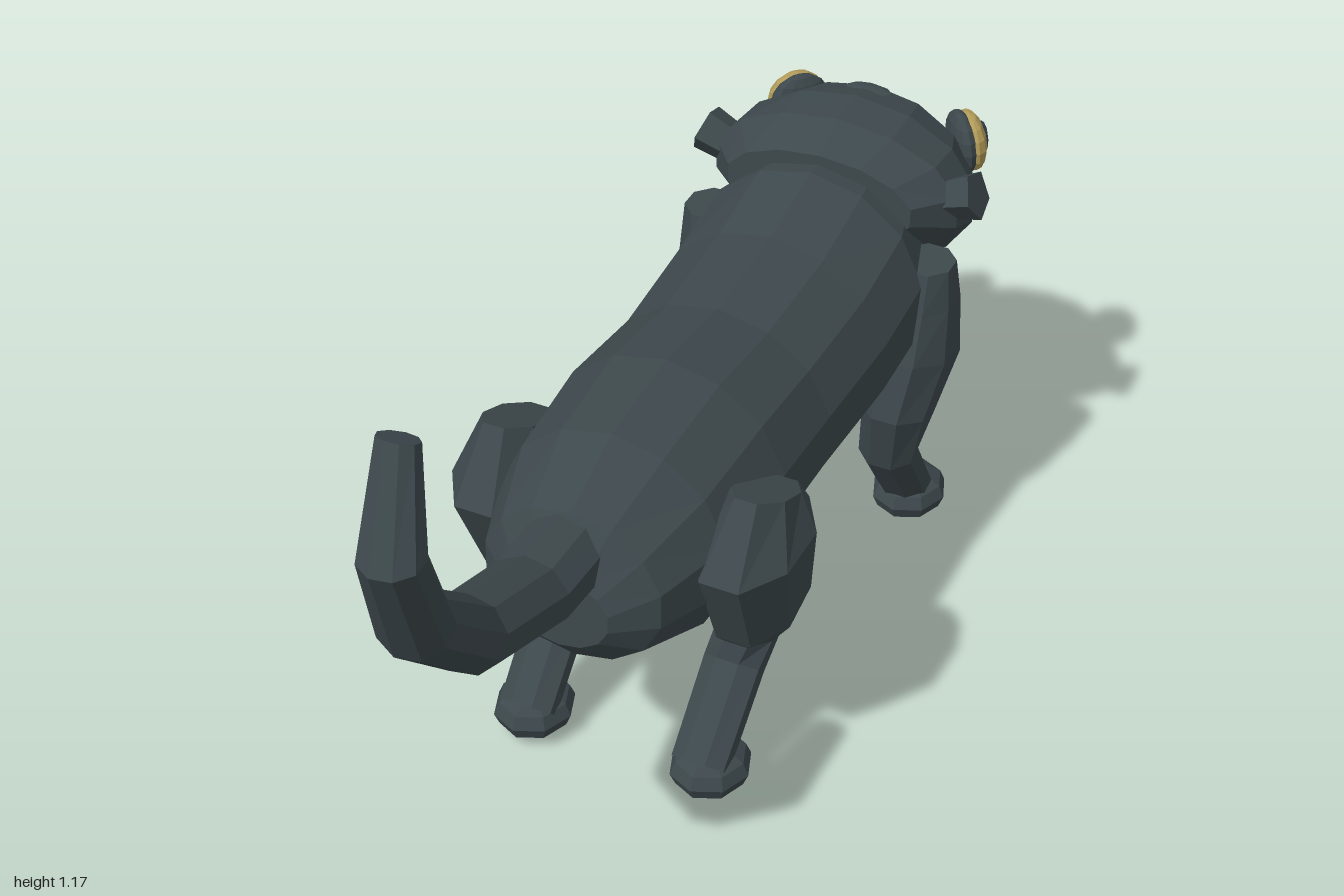
import * as THREE from 'three';

const fur = new THREE.MeshStandardMaterial({ color: 0x3d484c });
fur.name = 'charcoalFur';
const amber = new THREE.MeshStandardMaterial({ color: 0xb09a58 });
amber.name = 'amberEye';
const slate = new THREE.MeshStandardMaterial({ color: 0x36404a });
slate.name = 'slatePupil';

// Faceted look: every face gets its own normals
function faceted(geometry) {
  const g = geometry.index ? geometry.toNonIndexed() : geometry;
  g.computeVertexNormals();
  return g;
}

// Closed tube through elliptical rings [x, y, z, half width, half depth]
function loft(rings, sides, axis) {
  const centres = rings.map(r => new THREE.Vector3(r[0], r[1], r[2]));
  const u = new THREE.Vector3(1, 0, 0);
  const loops = rings.map((r, k) => {
    const t = axis || centres[Math.min(k + 1, rings.length - 1)].clone()
      .sub(centres[Math.max(k - 1, 0)]).normalize();
    const v = t.clone().cross(u).normalize();
    return Array.from({ length: sides }, (_, i) => {
      const a = (i + 0.5) / sides * Math.PI * 2;
      return centres[k].clone().addScaledVector(u, Math.cos(a) * r[3])
        .addScaledVector(v, Math.sin(a) * r[4]);
    });
  });
  const points = [];
  const last = rings.length - 1;
  for (let i = 0; i < sides; i++) {
    const j = (i + 1) % sides;
    for (let k = 0; k < last; k++) {
      const a = loops[k][i], b = loops[k][j], c = loops[k + 1][j], d = loops[k + 1][i];
      points.push(a, b, c, a, c, d);
    }
    points.push(centres[0], loops[0][j], loops[0][i]);
    points.push(centres[last], loops[last][i], loops[last][j]);
  }
  return faceted(new THREE.BufferGeometry().setFromPoints(points));
}

function add(parent, name, geometry, material = fur) {
  const mesh = new THREE.Mesh(geometry, material);
  mesh.name = name;
  parent.add(mesh);
  return mesh;
}

// Low-poly ellipsoid
function blob(parent, name, pos, size, material = fur, sides = 8, rows = 6) {
  const g = new THREE.SphereGeometry(1, sides, rows).scale(...size);
  const mesh = add(parent, name, faceted(g), material);
  mesh.position.set(...pos);
  return mesh;
}

export function createModel() {
  const model = new THREE.Group();
  model.name = 'cat';
  const alongZ = new THREE.Vector3(0, 0, 1);

  // Torso, from neck to rump
  add(model, 'body', loft([
    [0, 0.585, -0.80, 0.11, 0.115],
    [0, 0.57, -0.68, 0.18, 0.185],
    [0, 0.545, -0.56, 0.225, 0.22],
    [0, 0.52, -0.40, 0.225, 0.204],
    [0, 0.505, -0.19, 0.215, 0.196],
    [0, 0.51, 0, 0.22, 0.206],
    [0, 0.492, 0.19, 0.208, 0.2],
    [0, 0.49, 0.33, 0.16, 0.142],
    [0, 0.475, 0.38, 0.09, 0.07],
  ], 14, alongZ));

  // Head, from snout to nape
  add(model, 'head', loft([
    [0, 0.545, -0.985, 0.04, 0.025],
    [0, 0.558, -0.96, 0.09, 0.045],
    [0, 0.62, -0.90, 0.155, 0.125],
    [0, 0.638, -0.83, 0.205, 0.165],
    [0, 0.66, -0.75, 0.24, 0.163],
    [0, 0.685, -0.67, 0.24, 0.13],
    [0, 0.70, -0.595, 0.18, 0.08],
  ], 14, alongZ));
  blob(model, 'foreheadTuft', [0, 0.797, -0.81], [0.05, 0.016, 0.025]);
  blob(model, 'nose', [0, 0.582, -0.978], [0.028, 0.02, 0.02]);

  // Tail curling upward
  add(model, 'tail', loft([
    [-0.01, 0.555, 0.28, 0.075, 0.07],
    [-0.005, 0.565, 0.46, 0.073, 0.062],
    [0.005, 0.64, 0.665, 0.07, 0.06],
    [0.035, 0.805, 0.845, 0.062, 0.054],
    [0.073, 1.01, 0.95, 0.05, 0.047],
    [0.057, 1.16, 0.89, 0.032, 0.03],
  ], 9));

  for (const s of [1, -1]) {
    const side = s > 0 ? 'left' : 'right';

    // Legs and paws
    add(model, side + 'FrontLeg', loft([
      [s * 0.21, 0.62, -0.605, 0.05, 0.05],
      [s * 0.205, 0.54, -0.61, 0.062, 0.075],
      [s * 0.20, 0.43, -0.605, 0.072, 0.1],
      [s * 0.185, 0.32, -0.565, 0.064, 0.075],
      [s * 0.168, 0.22, -0.57, 0.056, 0.046],
      [s * 0.163, 0.06, -0.685, 0.052, 0.042],
    ], 8));
    add(model, side + 'HindLeg', loft([
      [s * 0.225, 0.595, 0.095, 0.05, 0.09],
      [s * 0.22, 0.515, 0.125, 0.09, 0.145],
      [s * 0.212, 0.37, 0.085, 0.08, 0.11],
      [s * 0.178, 0.265, 0.045, 0.056, 0.06],
      [s * 0.165, 0.2, 0.075, 0.054, 0.04],
      [s * 0.163, 0.07, 0.2, 0.052, 0.037],
    ], 8));
    blob(model, side + 'FrontPaw', [s * 0.168, 0.05, -0.688], [0.07, 0.046, 0.078]);
    blob(model, side + 'HindPaw', [s * 0.168, 0.05, 0.17], [0.07, 0.046, 0.078]);

    // Muzzle pad
    blob(model, side + 'MuzzlePad', [s * 0.05, 0.555, -0.962], [0.05, 0.034, 0.032]);

    // Short flared ear
    const ear = add(model, side + 'Ear',
      faceted(new THREE.CylinderGeometry(0.045, 0.035, 0.09, 5)));
    ear.position.set(s * 0.222, 0.708, -0.685);
    ear.rotation.z = -s * 1.2;

    // Bulging eye with an upright pupil
    const eye = new THREE.Group();
    eye.name = side + 'Eye';
    eye.position.set(s * 0.17, 0.71, -0.875);
    eye.lookAt(s * 0.92, 0.80, -1.525);
    blob(eye, 'eyeSocket', [0, 0, -0.012], [0.06, 0.06, 0.025], fur, 12, 8);
    blob(eye, 'eyeball', [0, 0, 0.004], [0.057, 0.057, 0.027], amber, 12, 8);
    blob(eye, 'pupil', [0, 0, 0.026], [0.02, 0.034, 0.012], slate, 8, 6);
    model.add(eye);
  }
  return model;
}
